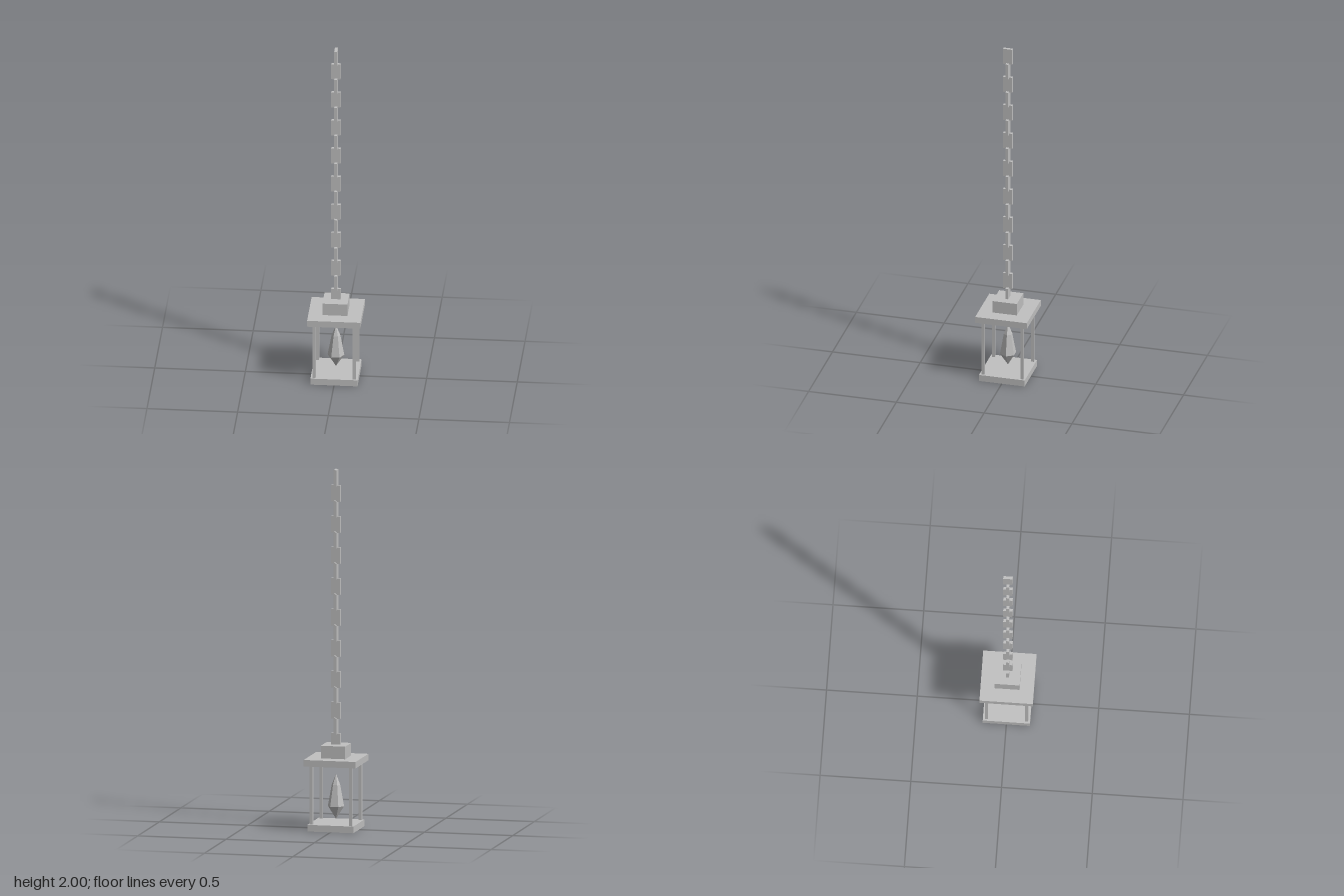
import * as THREE from 'three';

export function createModel() {
  const model = new THREE.Group();
  model.name = 'hangingLantern';
  const grey = new THREE.MeshStandardMaterial({ color: 0xc0c0c0 });
  grey.name = 'lightGrey';

  function add(name, geometry, x = 0, y = 0, z = 0, parent = model) {
    const mesh = new THREE.Mesh(geometry, grey);
    mesh.name = name;
    mesh.position.set(x, y, z);
    parent.add(mesh);
    return mesh;
  }

  // A square slab standing between two heights
  function slab(name, width, bottom, top, x = 0, z = 0) {
    return add(name, new THREE.BoxGeometry(width, top - bottom, width), x, (top + bottom) / 2, z);
  }

  // Lantern body
  slab('base', 0.26, 0, 0.037);
  slab('roof', 0.294, 0.364, 0.4);
  slab('cap', 0.138, 0.4, 0.47);
  for (const x of [-0.111, 0.111]) {
    for (const z of [-0.111, 0.111]) slab('cornerPost', 0.017, 0.037, 0.364, x, z);
  }

  // Six-sided faceted flame
  const profile = [[0, 0.056], [0.046, 0.127], [0.024, 0.246], [0, 0.307]]
    .map(([r, y]) => new THREE.Vector2(r, y));
  const flame = new THREE.LatheGeometry(profile, 6, Math.PI / 2).toNonIndexed();
  flame.computeVertexNormals();
  add('flame', flame);

  // Chain of flat links, each turned a quarter from the last
  const chain = new THREE.Group();
  chain.name = 'chain';
  model.add(chain);
  const link = new THREE.BoxGeometry(0.052, 0.092, 0.016);
  for (let i = 0; i < 18; i++) {
    const mesh = add('chainLink', link, 0, 1.954 - i * 0.0863, 0, chain);
    if (i % 2 === 0) mesh.rotation.y = Math.PI / 2;
  }
  return model;
}
